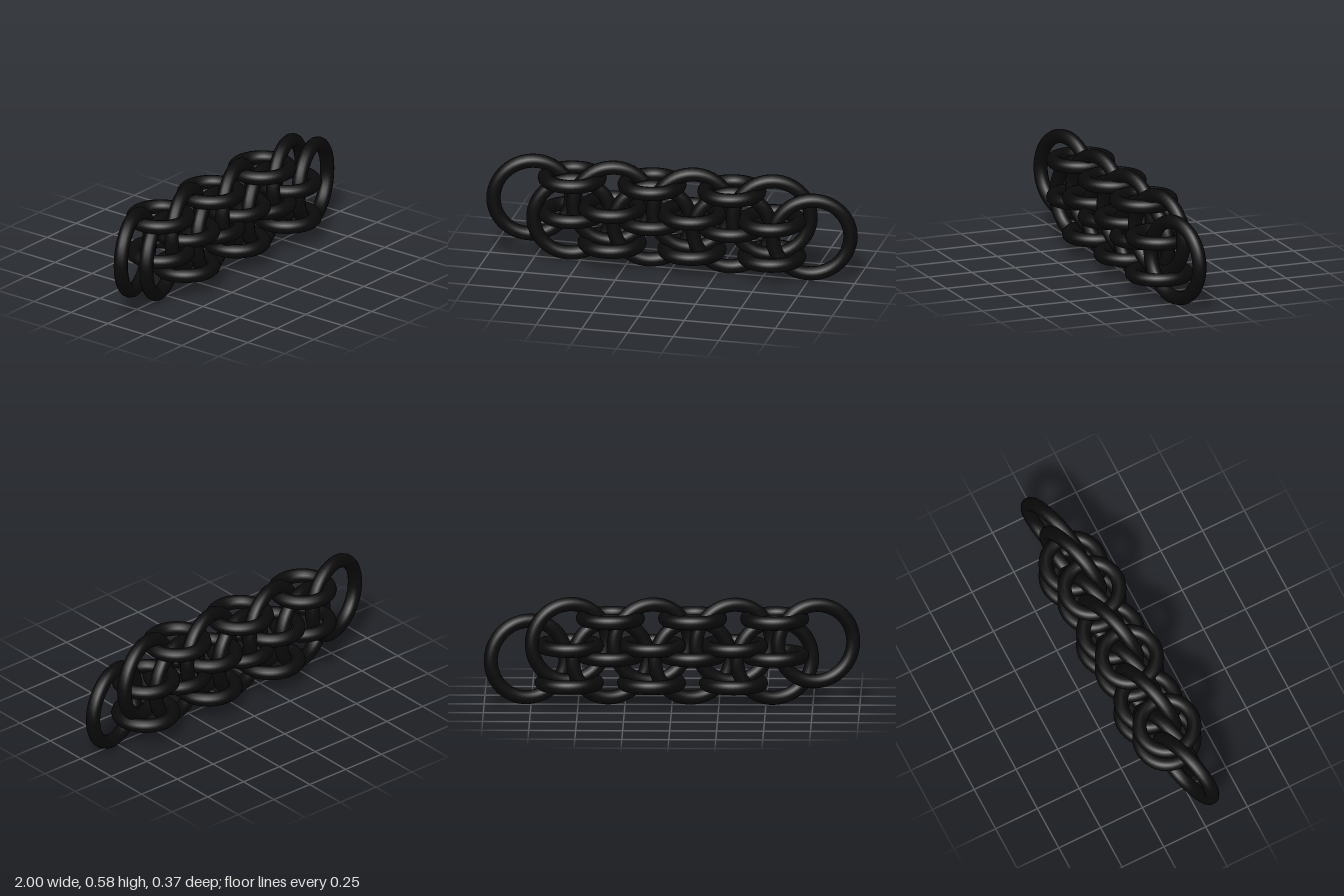
import * as THREE from 'three';

export function createModel() {
  const group = new THREE.Group();
  group.name = 'ringWeave';
  const material = new THREE.MeshStandardMaterial({ color: 0x0a0a0a });

  const wire = 0.038; // wire radius
  const step = 0.2186; // spacing between columns
  const tilt = 0.285; // turn of the upright rings about y
  const largeRing = new THREE.TorusGeometry(0.207, wire, 12, 48);
  const smallRing = new THREE.TorusGeometry(0.146, wire, 12, 48).rotateX(Math.PI / 2);

  const addRing = (name, geometry, column, y, turn = 0) => {
    const ring = new THREE.Mesh(geometry, material);
    ring.name = name;
    ring.position.set(column * step, y, 0);
    ring.rotation.y = turn;
    group.add(ring);
  };

  // Large upright rings in two staggered rows
  for (let i = 0; i < 4; i++) {
    addRing('upperUprightRing', largeRing, -3.5 + 2 * i, 0.335, tilt);
    addRing('lowerUprightRing', largeRing, -2.5 + 2 * i, 0.245, tilt);
  }

  // Small flat rings, a stacked pair in each column, alternately high and low
  for (let i = 0; i < 6; i++) {
    const low = i % 2 === 0 ? 0.267 : 0.117;
    addRing('lowerFlatRing', smallRing, -2.5 + i, low);
    addRing('upperFlatRing', smallRing, -2.5 + i, low + 0.2);
  }
  return group;
}
